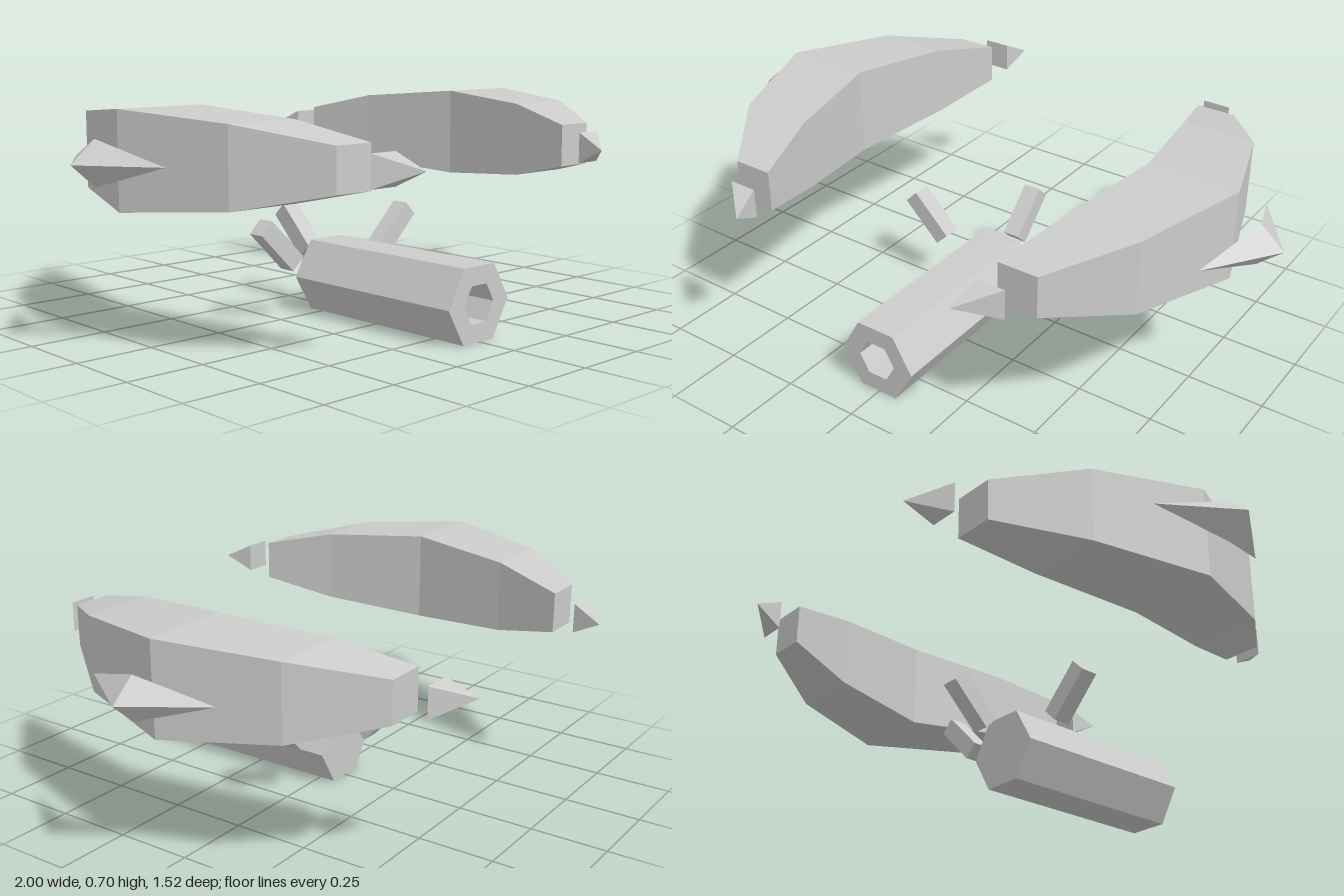
import * as THREE from 'three';

const grey = new THREE.MeshStandardMaterial({ color: 0xcccccc, flatShading: true });

function part(name, geometry, parent) {
  const mesh = new THREE.Mesh(geometry, grey);
  mesh.name = name;
  parent.add(mesh);
  return mesh;
}

// Closed loft through rings of [x, y, z], ordered by rising z and
// counterclockwise seen from +z; a ring may collapse to a point.
function loft(rings) {
  const pos = [];
  const n = rings[0].length;
  const tri = (...corners) => {
    const [a, b, c] = corners.map((p) => new THREE.Vector3(...p));
    if (new THREE.Triangle(a, b, c).getArea() > 1e-8) pos.push(...corners.flat());
  };
  for (let i = 0; i < rings.length - 1; i++) {
    for (let j = 0; j < n; j++) {
      const k = (j + 1) % n;
      const [r, s] = [rings[i], rings[i + 1]];
      tri(r[j], r[k], s[k]);
      tri(r[j], s[k], s[j]);
    }
  }
  const last = rings[rings.length - 1];
  for (let j = 1; j < n - 1; j++) {
    tri(rings[0][0], rings[0][j + 1], rings[0][j]);
    tri(last[0], last[j], last[j + 1]);
  }
  const g = new THREE.BufferGeometry();
  g.setAttribute('position', new THREE.Float32BufferAttribute(pos, 3));
  g.computeVertexNormals();
  return g;
}

const rect = (x0, x1, h, z) => [[x0, -h, z], [x1, -h, z], [x1, h, z], [x0, h, z]];
const point = (n, x, y, z) => Array.from({ length: n }, () => [x, y, z]);

export function createModel() {
  const model = new THREE.Group();
  model.name = 'model';

  // Hexagonal barrel with a blind bore at the front
  const profile = [[0, -0.055], [0.134, -0.055], [0.134, 0.617], [0.067, 0.617], [0.067, 0.317], [0, 0.317]]
    .map(([r, z]) => new THREE.Vector2(r, z));
  const barrelGeometry = new THREE.LatheGeometry(profile, 6, Math.PI / 2);
  barrelGeometry.rotateX(Math.PI / 2);
  part('barrel', barrelGeometry, model).position.set(-0.003, 0.116, 0);

  // Three tilted rods: left, back and right
  ['leftRod', 'backRod', 'rightRod'].forEach((name, i) => {
    const pivot = new THREE.Group();
    pivot.name = name + 'Pivot';
    pivot.position.set(-0.005, 0.244, 0);
    pivot.rotation.y = i * Math.PI / 2;
    const rod = part(name, new THREE.BoxGeometry(0.182, 0.06, 0.06), pivot);
    rod.position.x = i === 1 ? 0.192 : 0.259;
    rod.rotation.z = Math.PI / 4;
    model.add(pivot);
  });

  // Curved side plates: inner x, outer x, half height, z
  const plateGeometry = loft([
    [0.425, 0.555, 0.066, -0.587],
    [0.49, 0.73, 0.119, -0.352],
    [0.555, 0.847, 0.147, 0],
    [0.49, 0.73, 0.119, 0.352],
    [0.425, 0.555, 0.066, 0.587],
  ].map((r) => rect(...r)));

  // Swept fin standing off the outside of a plate
  const finGeometry = loft([
    point(3, 0.845, 0, -0.225),
    [[0.922, -0.068, 0], [1, 0, 0], [0.922, 0.068, 0]],
    point(3, 0.845, 0, 0.225),
  ]);

  // Pyramid tip floating off the end of a plate
  const tipGeometry = loft([rect(0.41, 0.503, 0.048, 0.664), point(4, 0.393, 0, 0.76)]);

  ['left', 'right'].forEach((side, i) => {
    const wing = new THREE.Group();
    wing.name = side + 'Wing';
    wing.position.y = 0.557;
    wing.rotation.y = i * Math.PI;
    part(side + 'Plate', plateGeometry, wing);
    part(side + 'Fin', finGeometry, wing);
    part(side + 'TipA', tipGeometry, wing);
    part(side + 'TipB', tipGeometry, wing).rotation.x = Math.PI;
    model.add(wing);
  });

  return model;
}
